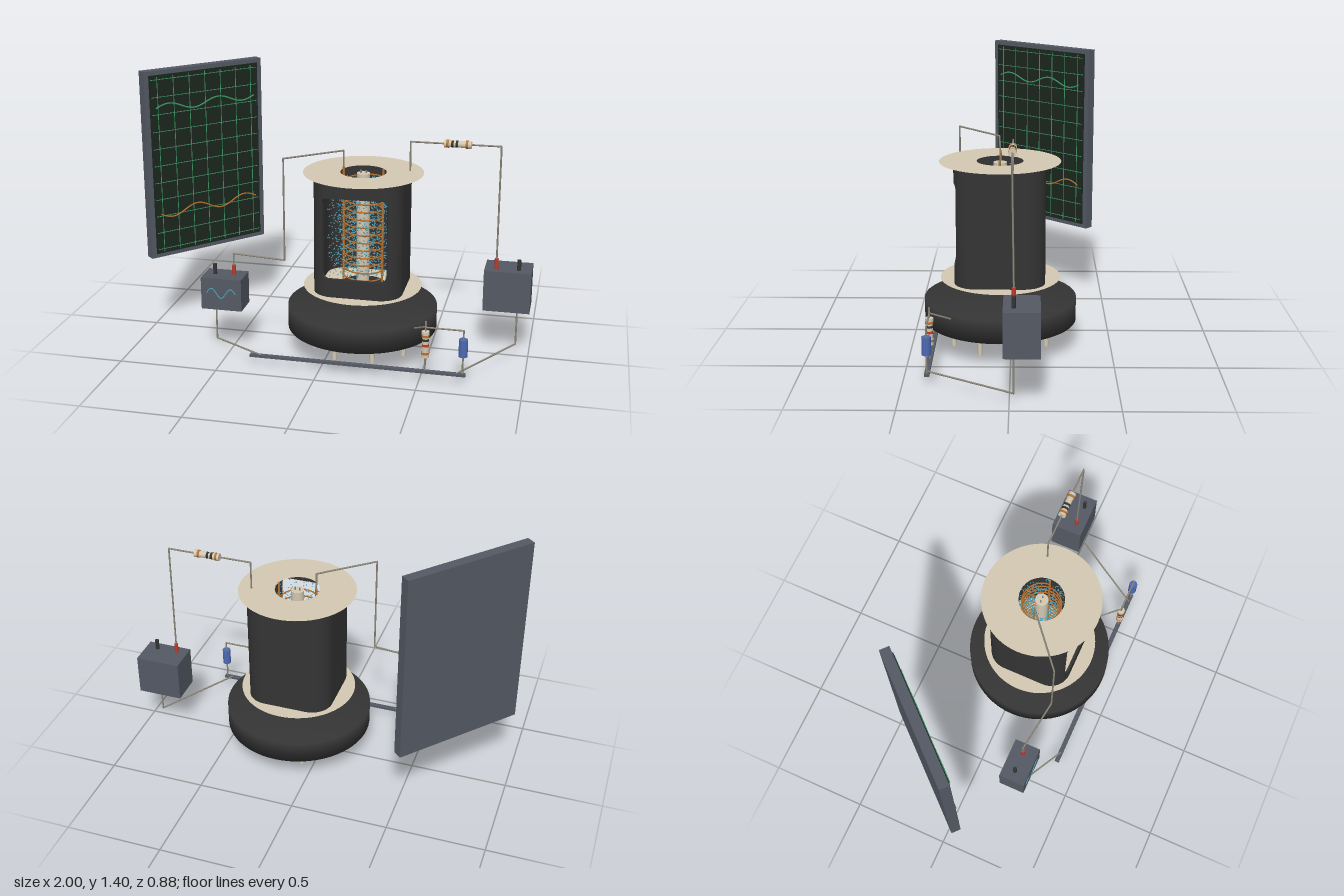
import * as THREE from 'three';
import { mergeGeometries, toCreasedNormals } from 'three/addons/utils/BufferGeometryUtils.js';

const mat = (name, color, side = THREE.FrontSide) => {
  const m = new THREE.MeshStandardMaterial({ color, side });
  m.name = name;
  return m;
};
const V = (x, y, z) => new THREE.Vector3(x, y, z);

export function createModel() {
  const dark = mat('charcoal', 0x343434, THREE.DoubleSide);
  const steel = mat('slate grey', 0x545964);
  const cream = mat('cream', 0xd2c8b2, THREE.DoubleSide);
  const wireGrey = mat('wire grey', 0x8b8678);
  const red = mat('red', 0xc0392b);
  const screenGreen = mat('screen black green', 0x1b261d);
  const green = mat('green', 0x3f9a68);
  const orange = mat('copper orange', 0xb8722f);
  const teal = mat('teal', 0x4fa6bd);
  const blue = mat('blue', 0x4d69b2);

  const root = new THREE.Group();
  const add = (name, geo, m, x = 0, y = 0, z = 0, parent = root) => {
    const mesh = new THREE.Mesh(geo, m);
    mesh.name = name;
    mesh.position.set(x, y, z);
    parent.add(mesh);
    return mesh;
  };
  const group = (name, x = 0, y = 0, z = 0) => {
    const g = new THREE.Group();
    g.name = name;
    g.position.set(x, y, z);
    root.add(g);
    return g;
  };
  const box = (w, h, d) => new THREE.BoxGeometry(w, h, d);
  // upright cylinder between two heights
  const post = (r, y0, y1, sides = 12) =>
    new THREE.CylinderGeometry(r, r, y1 - y0, sides).translate(0, (y0 + y1) / 2, 0);
  // bent wire: straight rods with a ball at each joint
  const wire = (name, pts, r = 0.0045) => {
    const parts = [];
    pts.forEach((p, i) => {
      parts.push(new THREE.SphereGeometry(r, 8, 6).translate(p.x, p.y, p.z));
      if (i) parts.push(new THREE.TubeGeometry(new THREE.LineCurve3(pts[i - 1], p), 1, r, 8));
    });
    add(name, mergeGeometries(parts), wireGrey);
  };
  const wave = (width, cycles, amp, r) => {
    const pts = [];
    for (let i = 0; i <= 48; i++) {
      const t = i / 48;
      pts.push(V((t - 0.5) * width, amp * Math.sin(t * cycles * Math.PI * 2), 0));
    }
    return new THREE.TubeGeometry(new THREE.CatmullRomCurve3(pts), 96, r, 5);
  };

  // ---- Valve: socket, pins, shell and electrodes ----
  const tube = group('valve', 0.152, 0, 0.055);
  const socket = [[0, 0.13], [0.381, 0.13], [0.381, 0.245], [0, 0.245]];
  add('socketBase', new THREE.LatheGeometry(socket.map(p => new THREE.Vector2(...p)), 64), dark, 0, 0, 0, tube);
  add('locatingKey', post(0.035, 0, 0.14, 24), dark, 0, 0, 0, tube);
  for (let i = 0; i < 8; i++) {
    const a = (i + 0.5) * Math.PI / 4;
    add('pin', post(0.0115, 0.012, 0.14), cream, 0.25 * Math.cos(a), 0, 0.25 * Math.sin(a), tube);
  }
  for (const y of [0.349, 0.941])
    add('spacerDisc', new THREE.RingGeometry(0.115, 0.3, 64).rotateX(-Math.PI / 2), cream, 0, y, 0, tube);
  add('anodeShell', shellGeometry(), dark, 0, 0, 0, tube);
  add('cathode', post(0.033, 0.36, 0.935, 24), cream, 0, 0, 0, tube);
  for (const s of [-1, 1]) {
    add('gridRod', post(0.006, 0.34, 0.96, 8), orange, s * 0.1, 0, 0, tube);
    add('heaterLead', post(0.004, 0.34, 0.95, 8), wireGrey, s * 0.013, 0, 0, tube);
  }
  const helix = [];
  for (let i = 0; i <= 13 * 16; i++) {
    const a = i * Math.PI / 8;
    helix.push(V(0.1 * Math.cos(a), 0.39 + 0.52 * i / 208, 0.1 * Math.sin(a)));
  }
  add('gridHelix', new THREE.TubeGeometry(new THREE.CatmullRomCurve3(helix), 416, 0.004, 5), orange, 0, 0, 0, tube);

  // cloud of electrons around the cathode
  let seed = 7;
  const rnd = () => (seed = (seed * 16807) % 2147483647) / 2147483647;
  const dots = [];
  for (let i = 0; i < 1500; i++) {
    const a = rnd() * Math.PI * 2, r = 0.045 + 0.135 * rnd();
    dots.push(new THREE.OctahedronGeometry(0.0042)
      .translate(r * Math.cos(a), 0.4 + 0.5 * rnd(), r * Math.sin(a)));
  }
  add('electronCloud', mergeGeometries(dots), teal, 0, 0, 0, tube);

  // ---- Display panel with grid and two traces ----
  const panel = group('displayPanel', -0.75, 0.906, -0.166);
  panel.rotation.y = 0.84;
  add('panelBody', box(0.69, 0.99, 0.05), steel, 0, 0, 0, panel);
  add('screen', box(0.636, 0.946, 0.006), screenGreen, 0, 0, 0.027, panel);
  const lines = [];
  for (let i = -3; i <= 3; i++) lines.push(box(0.003, 0.93, 0.003).translate(i * 0.0915, 0, 0));
  for (let i = -5; i <= 5; i++) lines.push(box(0.62, 0.003, 0.003).translate(0, i * 0.09, 0));
  add('screenGrid', mergeGeometries(lines), green, 0, 0, 0.031, panel);
  add('upperTrace', wave(0.58, 2, 0.02, 0.004), green, 0, 0.304, 0.036, panel);
  add('lowerTrace', wave(0.58, 2, -0.024, 0.004), orange, 0, -0.256, 0.036, panel);

  // ---- Signal source and power supply ----
  const source = group('signalSource', -0.524, 0.326, 0.238);
  add('sourceBody', box(0.21, 0.167, 0.137), steel, 0, 0, 0, source);
  add('sourceWave', wave(0.15, 1.5, 0.025, 0.003), teal, 0, 0.005, 0.07, source);
  const supply = group('powerSupply', 0.88, 0.35, -0.056);
  add('supplyBody', box(0.235, 0.213, 0.167), steel, 0, 0, 0, supply);
  const terminal = (m, x, y, z) => add('terminal', post(0.01, 0, 0.055), m, x, y, z);
  terminal(dark, -0.575, 0.408, 0.235);
  terminal(red, -0.475, 0.408, 0.235);
  terminal(red, 0.82, 0.456, -0.02);
  terminal(dark, 0.933, 0.456, -0.02);

  // ---- Ground rail and wiring ----
  add('groundRail', box(1.08, 0.012, 0.024), steel, 0.185, 0.048, 0.385);
  wire('gridWire', [V(-0.475, 0.46, 0.235), V(-0.475, 0.525, 0.235), V(-0.2, 0.525, 0.272),
    V(-0.2, 1.045, 0.272), V(0.052, 1.045, 0.06), V(0.052, 0.95, 0.055)]);
  wire('anodeWire', [V(0.375, 0.94, -0.012), V(0.375, 1.09, -0.012), V(0.82, 1.09, -0.012), V(0.82, 0.5, -0.02)]);
  wire('sourceReturn', [V(-0.575, 0.25, 0.235), V(-0.575, 0.055, 0.235), V(-0.3, 0.052, 0.385)]);
  wire('supplyReturn', [V(0.933, 0.25, -0.02), V(0.933, 0.055, -0.02), V(0.68, 0.052, 0.385)]);
  wire('cathodeWire', [V(0.527, 0.05, 0.385), V(0.527, 0.31, 0.385)]);
  wire('cathodeTap', [V(0.527, 0.283, 0.385), V(0.46, 0.23, 0.29)]);
  wire('bypassWire', [V(0.527, 0.28, 0.385), V(0.71, 0.28, 0.385), V(0.71, 0.05, 0.385)]);

  // ---- Banded resistors and the capacitor ----
  const resistor = (name, x, y, z, bands) => {
    const g = group(name, x, y, z);
    add('resistorBody', post(0.0165, -0.067, 0.067, 20), cream, 0, 0, 0, g);
    for (const s of [-1, 1]) add('endCap', post(0.0195, -0.014, 0.014, 20), cream, 0, s * 0.053, 0, g);
    bands.forEach(([m, at, r = 0.0172]) => add('colourBand', post(r, -0.006, 0.006, 20), m, 0, at, 0, g));
    return g;
  };
  resistor('anodeResistor', 0.608, 1.09, -0.012,
    [[orange, 0.05, 0.02], [dark, 0.026], [dark, 0.004], [orange, -0.045, 0.02]]).rotation.z = Math.PI / 2;
  const anodeBands = root.getObjectByName('anodeResistor');
  anodeBands.rotation.z = Math.PI / 2;
  resistor('cathodeResistor', 0.527, 0.193, 0.385,
    [[orange, 0.045, 0.02], [dark, 0.024], [red, -0.004], [orange, -0.045, 0.02]]);
  add('capacitor', post(0.022, 0.147, 0.235, 24), blue, 0.71, 0, 0.385);

  return root;
}

// Rounded-square shell with a rounded window in the front wall
function shellGeometry() {
  const half = 0.2235, corner = 0.11, thick = 0.014, y0 = 0.35, y1 = 0.94;
  const win = { x: 0.1635, lo: 0.446, hi: 0.86, r: 0.028 };
  const ring = [];
  for (let q = 0; q < 4; q++) for (let k = 0; k <= 27; k++) {
    const a = (q + k / 27) * Math.PI / 2, m = (q + 0.5) * Math.PI / 2, c = half - corner;
    const cx = Math.sign(Math.cos(m)) * c, cz = Math.sign(Math.sin(m)) * c;
    const at = r => [cx + r * Math.cos(a), cz + r * Math.sin(a)];
    ring.push({ out: at(corner), in: at(corner - thick) });
  }
  const pos = [];
  const quad = (a, b, c, d) => pos.push(...a, ...b, ...c, ...a, ...c, ...d);
  const P = ([x, z], y) => [x, y, z];
  // wall piece between two ring points, each with its own bottom and top
  const piece = (p, q, pl, ph, ql, qh) => {
    quad(P(p.out, pl), P(p.out, ph), P(q.out, qh), P(q.out, ql));
    quad(P(p.in, pl), P(q.in, ql), P(q.in, qh), P(p.in, ph));
    quad(P(p.out, ph), P(p.in, ph), P(q.in, qh), P(q.out, qh));
    quad(P(p.out, pl), P(q.out, ql), P(q.in, ql), P(p.in, pl));
  };
  const inWindow = p => p.out[1] > 0 && Math.abs(p.out[0]) <= win.x;
  const inset = p => {
    const d = Math.max(0, Math.abs(p.out[0]) - win.x + win.r);
    return win.r - Math.sqrt(win.r ** 2 - d * d);
  };
  ring.forEach((p, i) => {
    const q = ring[(i + 1) % ring.length], wp = inWindow(p), wq = inWindow(q);
    if (wp && wq) {
      piece(p, q, y0, win.lo + inset(p), y0, win.lo + inset(q));
      piece(p, q, win.hi - inset(p), y1, win.hi - inset(q), y1);
      return;
    }
    piece(p, q, y0, y1, y0, y1);
    const lo = win.lo, hi = win.hi;
    if (wq) quad(P(q.out, lo), P(q.out, hi), P(q.in, hi), P(q.in, lo));
    if (wp) quad(P(p.in, lo), P(p.in, hi), P(p.out, hi), P(p.out, lo));
  });
  const geo = new THREE.BufferGeometry();
  geo.setAttribute('position', new THREE.Float32BufferAttribute(pos, 3));
  return toCreasedNormals(geo, 0.6);
}
